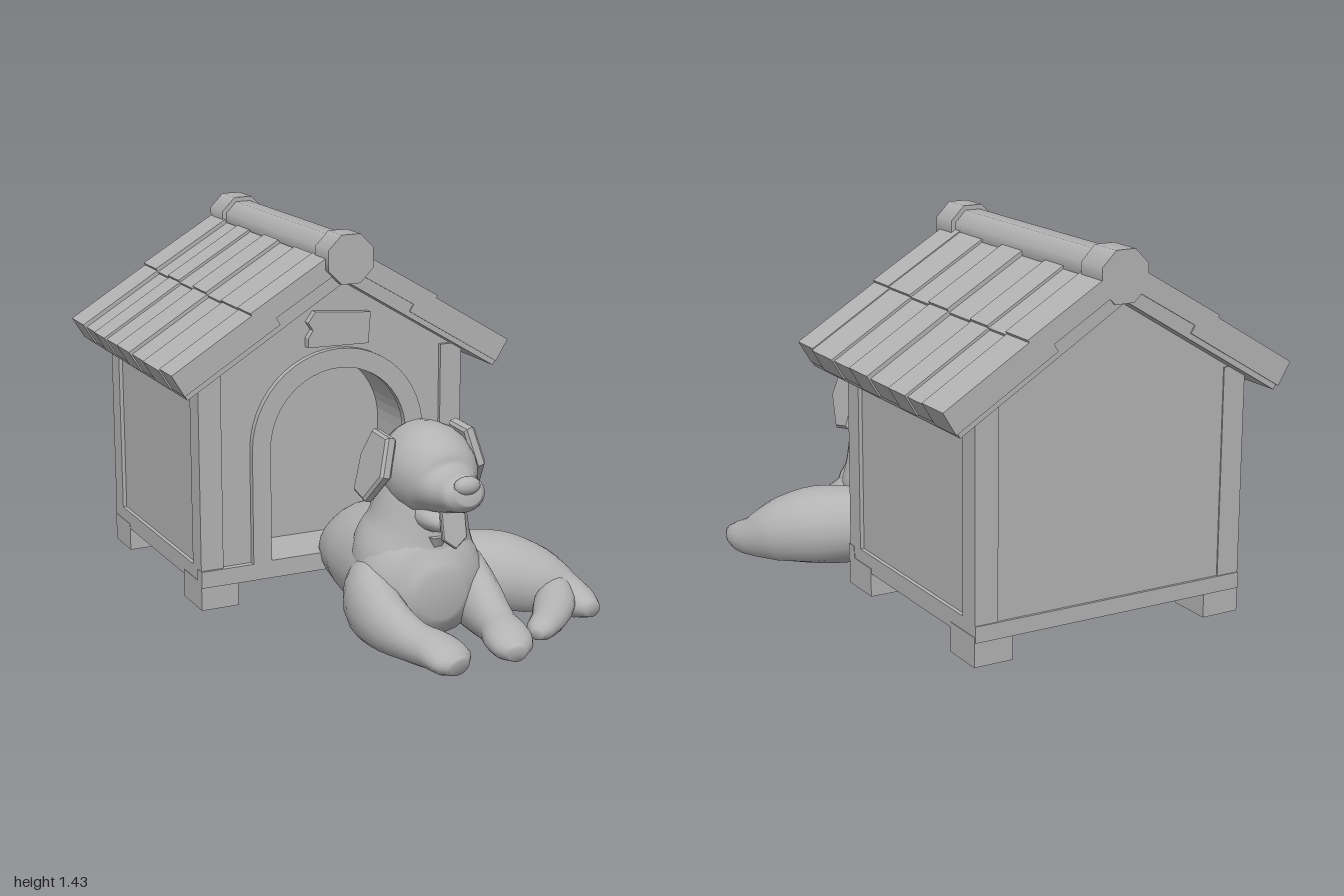
import * as THREE from 'three';

const grey = new THREE.MeshStandardMaterial({ color: 0xb3b3b3 });
grey.name = 'clay grey';

function add(parent, name, geo, x = 0, y = 0, z = 0) {
  const m = new THREE.Mesh(geo, grey);
  m.name = name;
  m.position.set(x, y, z);
  parent.add(m);
  return m;
}

// Box given by its min and max corners
function block(parent, name, x0, x1, y0, y1, z0, z1) {
  return add(parent, name, new THREE.BoxGeometry(x1 - x0, y1 - y0, z1 - z0),
    (x0 + x1) / 2, (y0 + y1) / 2, (z0 + z1) / 2);
}

const polygon = pts => new THREE.Shape(pts.map(p => new THREE.Vector2(...p)));

function extrude(shape, depth, bevel = 0) {
  return new THREE.ExtrudeGeometry(shape, {
    depth, curveSegments: 12, bevelEnabled: bevel > 0,
    bevelSize: bevel, bevelThickness: bevel, bevelSegments: 1,
  });
}

// Smooth body through elliptical sections [x, y, z, halfWidth, halfHeight], flattened on the ground
function loft(sections, up = new THREE.Vector3(0, 1, 0), sides = 18) {
  const path = new THREE.CatmullRomCurve3(sections.map(s => new THREE.Vector3(s[0], s[1], s[2])));
  const size = new THREE.CatmullRomCurve3(sections.map(s => new THREE.Vector3(s[3], s[4], 0)));
  const rings = (sections.length - 1) * 4, pos = [], idx = [];
  const put = v => pos.push(v.x, Math.max(v.y, 0.004), v.z);
  for (let i = 0; i <= rings; i++) {
    const t = i / rings, c = path.getPoint(t), r = size.getPoint(t), d = path.getTangent(t);
    const side = up.clone().cross(d).normalize(), top = d.clone().cross(side);
    for (let j = 0; j < sides; j++) {
      const a = j / sides * Math.PI * 2;
      put(c.clone().addScaledVector(side, r.x * Math.cos(a)).addScaledVector(top, r.y * Math.sin(a)));
    }
  }
  for (let i = 0; i < rings; i++) for (let j = 0; j < sides; j++) {
    const k = (j + 1) % sides, a = i * sides + j, b = i * sides + k;
    idx.push(a, b, a + sides, b, b + sides, a + sides);
  }
  const s = pos.length / 3, last = rings * sides;
  put(path.getPoint(0));
  put(path.getPoint(1));
  for (let j = 0; j < sides; j++) {
    const k = (j + 1) % sides;
    idx.push(s, k, j, s + 1, last + j, last + k);
  }
  const g = new THREE.BufferGeometry();
  g.setAttribute('position', new THREE.Float32BufferAttribute(pos, 3));
  g.setIndex(idx);
  g.computeVertexNormals();
  return g;
}

function ball(parent, name, x, y, z, rx, ry, rz) {
  return add(parent, name, new THREE.SphereGeometry(1, 14, 10).scale(rx, ry, rz), x, y, z);
}

// Round-topped doorway outline
function arch(x, r, bottom, spring, Type = THREE.Shape) {
  const s = new Type();
  s.moveTo(x - r, bottom);
  s.lineTo(x + r, bottom);
  s.lineTo(x + r, spring);
  s.absarc(x, spring, r, 0, Math.PI, false);
  s.lineTo(x - r, bottom);
  return s;
}

function kennelWalls() {
  const g = new THREE.Group();
  g.name = 'walls';
  g.position.x = -0.06;
  const gable = () => polygon([[-0.535, 0.11], [0.535, 0.11], [0.535, 0.94], [0, 1.27], [-0.535, 0.94]]);
  add(g, 'rearBody', extrude(gable(), 0.71), 0, 0, -0.915);
  const front = gable();
  front.holes.push(arch(0.02, 0.29, 0.18, 0.62, THREE.Path));
  add(g, 'frontWall', extrude(front, 0.225), 0, 0, -0.205);

  // Raised door surround
  const frame = arch(0.02, 0.36, 0.17, 0.62);
  frame.holes.push(arch(0.02, 0.285, 0.18, 0.62, THREE.Path));
  add(g, 'doorFrame', extrude(frame, 0.03), 0, 0, 0.015);

  // Corner posts, feet and the sill around the base
  for (const s of [-1, 1]) {
    for (const [z0, z1, f0, f1] of [[-0.05, 0.035, -0.14, 0.04], [-0.92, -0.835, -0.92, -0.75]]) {
      const post = block(g, 'cornerPost', -0.045, 0.045, 0.11, 0.95, z0, z1);
      post.position.x = s * 0.505;
      const foot = block(g, 'foot', -0.075, 0.075, 0.02, 0.13, f0, f1);
      foot.position.x = s * 0.477;
    }
    const sill = block(g, 'sideSill', -0.02, 0.02, 0.11, 0.18, -0.92, 0.03);
    sill.position.x = s * 0.53;
  }
  block(g, 'frontSill', -0.552, 0.552, 0.11, 0.175, 0, 0.045);
  block(g, 'backSill', -0.55, 0.55, 0.11, 0.17, -0.925, -0.9);

  // Blank plaque over the door
  add(g, 'plaque', extrude(polygon([[-0.11, 0.995], [0.14, 0.99], [0.15, 1.11], [-0.08, 1.13],
    [-0.11, 1.09], [-0.09, 1.06], [-0.11, 1.03]]), 0.035), 0, 0, 0.015);
  return g;
}

function kennelRoof() {
  const g = new THREE.Group();
  g.name = 'roof';
  g.position.x = -0.047;
  const edges = [-1, -0.855, -0.73, -0.61, -0.455, -0.315, -0.17, -0.005, 0.12];
  for (const s of [-1, 1]) {
    const slope = new THREE.Group();
    slope.name = s > 0 ? 'leftSlope' : 'rightSlope';
    slope.position.y = 1.25;
    slope.rotation.z = -s * 0.545;
    g.add(slope);
    const strip = (name, a, b, y0, y1, z0, z1) =>
      block(slope, name, Math.min(s * a, s * b), Math.max(s * a, s * b), y0, y1, z0, z1);
    strip('roofBoard', 0, 0.742, 0, 0.08, -0.995, 0.115);
    // Two courses of tiles, alternately raised and sunk
    for (let i = 0; i < 8; i++) {
      const h = [0.016, 0, 0.01, 0, 0.016, 0.002, 0.012, 0.016][i];
      const lip = 0.75 - (i % 2) * 0.006;
      strip('lowerTile', 0.3, lip, 0.02, 0.1 + h, edges[i], edges[i + 1]);
      const upper = strip('upperTile', 0.02, 0.375, 0.05, 0.108 + h, edges[i], edges[i + 1]);
      upper.rotation.z = s * 0.012;
    }
  }
  // Octagonal ridge beam with thicker ends
  const beam = (name, r, z0, z1) => add(g, name,
    new THREE.CylinderGeometry(r, r, z1 - z0, 8).rotateY(Math.PI / 8).rotateX(Math.PI / 2), 0.008, 1.337, (z0 + z1) / 2);
  beam('ridgeBeam', 0.081, -0.95, 0.1);
  beam('ridgeEnd', 0.1, 0.03, 0.145);
  beam('ridgeEnd', 0.1, -1, -0.87);
  return g;
}

function puppy() {
  const g = new THREE.Group();
  g.name = 'puppy';
  const forward = new THREE.Vector3(0, 0, 1);
  // Body and neck
  add(g, 'torso', loft([[0.09, 0.2, 0, 0.1, 0.1], [0.08, 0.19, 0.03, 0.19, 0.165], [0.08, 0.2, 0.15, 0.225, 0.2],
    [0.08, 0.2, 0.33, 0.24, 0.235], [0.075, 0.19, 0.49, 0.25, 0.23], [0.075, 0.18, 0.6, 0.2, 0.19],
    [0.075, 0.18, 0.67, 0.09, 0.09]], undefined, 24));
  add(g, 'neck', loft([[0.08, 0.12, 0.46, 0.23, 0.18], [0.08, 0.29, 0.43, 0.235, 0.205], [0.09, 0.42, 0.445, 0.19, 0.172],
    [0.095, 0.53, 0.455, 0.165, 0.145], [0.1, 0.62, 0.46, 0.14, 0.12]], forward, 24));
  const tuft = add(g, 'chestTuft', new THREE.ConeGeometry(0.045, 0.09, 5), 0.08, 0.345, 0.6);
  tuft.rotation.x = Math.PI;

  // Head
  add(g, 'head', loft([[0.1, 0.6, 0.315, 0.05, 0.06], [0.1, 0.61, 0.34, 0.11, 0.12], [0.1, 0.615, 0.42, 0.16, 0.165],
    [0.1, 0.612, 0.51, 0.17, 0.176], [0.1, 0.6, 0.6, 0.15, 0.15], [0.1, 0.585, 0.66, 0.115, 0.1],
    [0.1, 0.583, 0.71, 0.098, 0.078], [0.1, 0.59, 0.77, 0.084, 0.066], [0.1, 0.6, 0.805, 0.05, 0.042]], undefined, 24));
  ball(g, 'nose', 0.1, 0.626, 0.79, 0.052, 0.034, 0.03);
  add(g, 'lowerJaw', loft([[0.1, 0.49, 0.5, 0.12, 0.08], [0.1, 0.465, 0.58, 0.1, 0.07],
    [0.1, 0.455, 0.66, 0.07, 0.04], [0.1, 0.46, 0.7, 0.03, 0.018]]));
  const tongue = add(g, 'tongue', extrude(polygon([[-0.045, 0.07], [-0.045, -0.04], [0, -0.075],
    [0.045, -0.04], [0.045, 0.07]]), 0.012, 0.004), 0.1, 0.445, 0.69);
  tongue.rotation.x = -0.2;
  for (const s of [-1, 1]) {
    ball(g, 'brow', 0.1 + s * 0.08, 0.668, 0.6, 0.045, 0.03, 0.045).rotation.z = -s * 0.3;
    const flap = extrude(polygon([[0.06, 0.12], [-0.05, 0.125], [-0.09, 0.03], [-0.08, -0.1],
      [0, -0.115], [0.085, -0.01]]), 0.025, 0.01).translate(0, 0, -0.0125).rotateY(-Math.PI / 2);
    add(g, 'ear', flap, 0.1 + s * 0.192, 0.625, 0.455).rotation.z = s * 0.26;
  }

  // Front legs stretched forward
  add(g, 'rightForeleg', loft([[-0.06, 0.2, 0.36, 0.07, 0.1], [-0.125, 0.14, 0.48, 0.1, 0.15], [-0.135, 0.1, 0.63, 0.09, 0.115],
    [-0.095, 0.07, 0.78, 0.077, 0.075], [-0.055, 0.063, 0.88, 0.09, 0.065], [-0.04, 0.05, 0.96, 0.085, 0.05],
    [-0.03, 0.04, 0.995, 0.045, 0.032]]));
  add(g, 'leftForeleg', loft([[0.22, 0.2, 0.36, 0.07, 0.1], [0.265, 0.14, 0.48, 0.09, 0.15], [0.26, 0.1, 0.63, 0.088, 0.115],
    [0.245, 0.07, 0.78, 0.075, 0.075], [0.23, 0.063, 0.87, 0.088, 0.065], [0.215, 0.05, 0.94, 0.075, 0.05],
    [0.21, 0.04, 0.98, 0.035, 0.03]]));

  // Haunch lying out to the side, with the hind foot tucked forward
  add(g, 'haunch', loft([[0.18, 0.14, 0.26, 0.1, 0.12], [0.32, 0.14, 0.33, 0.15, 0.15], [0.45, 0.13, 0.41, 0.17, 0.16],
    [0.57, 0.1, 0.5, 0.14, 0.135], [0.65, 0.065, 0.59, 0.085, 0.085], [0.67, 0.055, 0.67, 0.07, 0.058],
    [0.68, 0.05, 0.735, 0.035, 0.03]]));
  add(g, 'hindFoot', loft([[0.62, 0.08, 0.57, 0.06, 0.08], [0.55, 0.07, 0.67, 0.078, 0.065], [0.47, 0.055, 0.76, 0.065, 0.055],
    [0.4, 0.045, 0.815, 0.052, 0.043], [0.37, 0.035, 0.835, 0.025, 0.02]]));
  return g;
}

export function createModel() {
  const model = new THREE.Group();
  model.name = 'kennelWithPuppy';
  model.add(kennelWalls(), kennelRoof(), puppy());
  return model;
}
